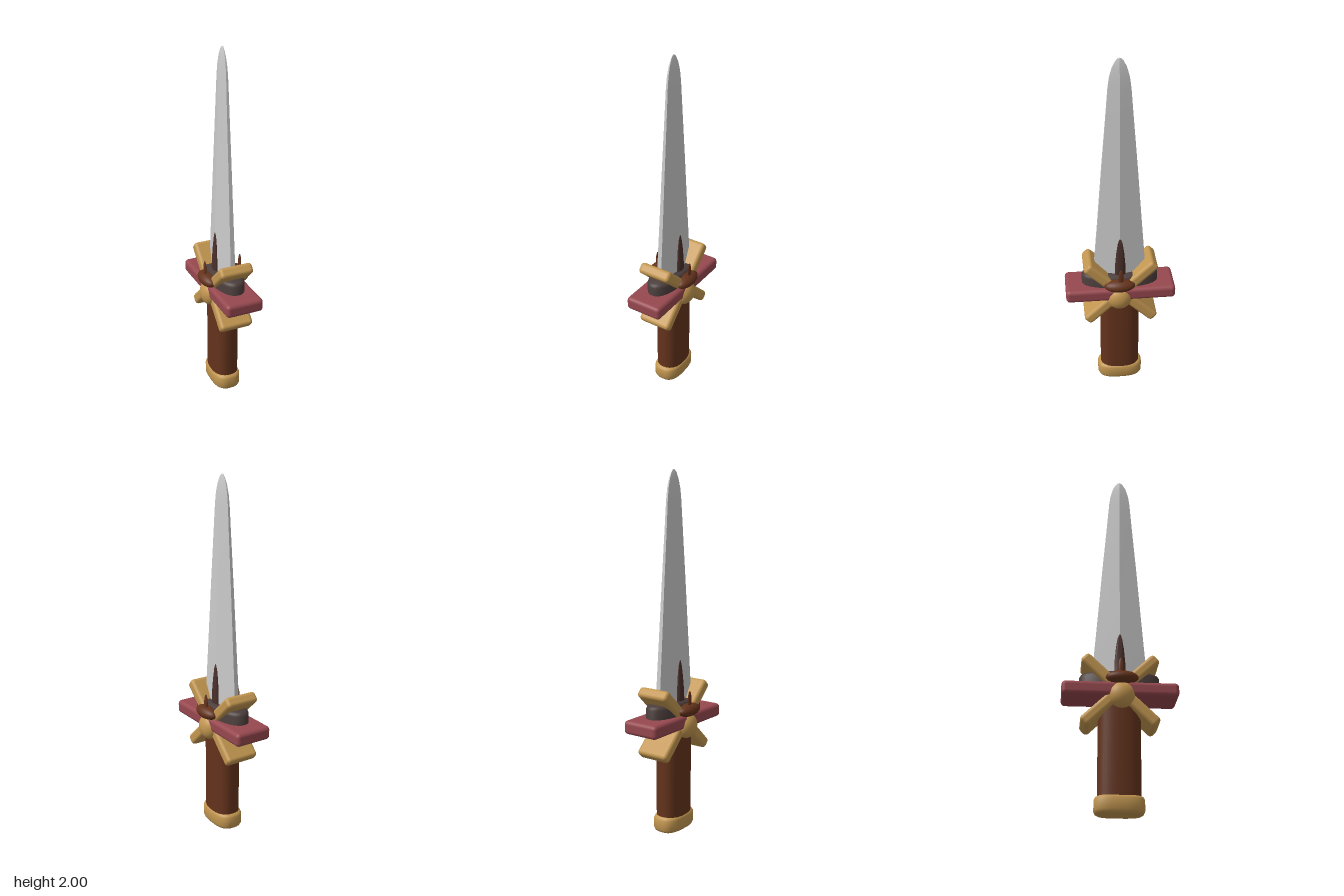
import * as THREE from 'three';
import { toCreasedNormals } from 'three/addons/utils/BufferGeometryUtils.js';
import { RoundedBoxGeometry } from 'three/addons/geometries/RoundedBoxGeometry.js';

const material = (color) => new THREE.MeshStandardMaterial({ color });

// Stack a unit outline (x, z) along y; rings are [y, half width x, half depth z]
function loft(outline, rings, crease) {
  const n = outline.length, pos = [], idx = [];
  for (const [y, rx, rz] of rings) for (const [x, z] of outline) pos.push(x * rx, y, z * rz);
  for (let i = 0; i < rings.length - 1; i++) {
    for (let j = 0; j < n; j++) {
      const a = i * n + j, b = i * n + (j + 1) % n;
      idx.push(a, a + n, b, b, a + n, b + n);
    }
  }
  const geo = new THREE.BufferGeometry();
  geo.setAttribute('position', new THREE.Float32BufferAttribute(pos, 3));
  geo.setIndex(idx);
  return toCreasedNormals(geo, crease);
}

// Rounded oval outline; a higher power is squarer
function oval(power, n = 40) {
  const f = (v) => Math.sign(v) * Math.abs(v) ** (2 / power);
  return Array.from({ length: n }, (_, i) => {
    const a = (i / n) * Math.PI * 2;
    return [f(Math.cos(a)), f(Math.sin(a))];
  });
}

export function createModel() {
  const model = new THREE.Group();
  const steel = material(0xcccccc), gold = material(0xc29650), red = material(0x96484f);
  const leather = material(0x64331c), iron = material(0x4a3d3b), thorn = material(0x4a302a);

  const add = (name, geo, mat, x = 0, y = 0, z = 0) => {
    const mesh = new THREE.Mesh(geo, mat);
    mesh.name = name;
    mesh.position.set(x, y, z);
    model.add(mesh);
    return mesh;
  };
  const ellipsoid = (rx, ry, rz) => new THREE.SphereGeometry(1, 32, 20).scale(rx, ry, rz);

  // Blade: diamond section with blunt edges and a rounded tip
  const diamond = [[1, 0], [0.27, 1], [-0.27, 1], [-1, 0], [-0.27, -1], [0.27, -1]];
  add('blade', loft(diamond, [
    [0.66, 0, 0], [0.66, 0.053, 0.15], [0.8, 0.05, 0.143], [1.1, 0.042, 0.119],
    [1.4, 0.034, 0.096], [1.7, 0.026, 0.071], [1.84, 0.021, 0.06], [1.9, 0.018, 0.052],
    [1.95, 0.013, 0.038], [1.98, 0.008, 0.023], [1.995, 0.004, 0.011], [2, 0, 0],
  ], 0.3), steel);

  // Grip and pommel
  add('grip', loft(oval(2.5), [
    [0.05, 0, 0], [0.05, 0.075, 0.113], [0.62, 0.075, 0.113], [0.62, 0, 0],
  ], 0.7), leather);
  add('pommel', loft(oval(2.8), [
    [0, 0, 0], [0, 0.065, 0.112], [0.006, 0.075, 0.123], [0.02, 0.081, 0.13],
    [0.075, 0.081, 0.13], [0.087, 0.076, 0.124], [0.093, 0.066, 0.112], [0.093, 0, 0],
  ], 0.8), gold);
  add('gripCap', ellipsoid(0.078, 0.065, 0.13), gold, 0, 0.635, 0);

  // Collar that holds the blade
  add('collar', loft(oval(2.3), [
    [0.62, 0, 0], [0.62, 0.085, 0.215], [0.73, 0.085, 0.215], [0.743, 0.08, 0.208],
    [0.75, 0.07, 0.195], [0.75, 0, 0],
  ], 0.9), iron);

  // Guard: straight red bar and two crossed gold bars
  add('crossguard', new RoundedBoxGeometry(0.218, 0.076, 0.618, 4, 0.022), red, 0, 0.642, 0);
  for (const s of [-1, 1]) {
    const bar = add('crossedBar', new RoundedBoxGeometry(0.195, 0.062, 0.535, 4, 0.02), gold, 0, 0.642, 0);
    bar.rotation.x = s * 0.76;
  }

  // Side ornaments: gold boss, dome, small horn and a thorn lying on the blade
  for (const s of [-1, 1]) {
    add('boss', ellipsoid(0.05, 0.07, 0.07), gold, s * 0.085, 0.612, 0.008);
    add('dome', ellipsoid(0.046, 0.036, 0.087), leather, s * 0.096, 0.704, 0.008);
    add('horn', ellipsoid(0.007, 0.055, 0.015), leather, s * 0.107, 0.757, 0.002);
    const spike = add('thorn', loft(oval(2, 16), [
      [0, 0, 0], [0, 0.012, 0.031], [0.08, 0.012, 0.029], [0.16, 0.01, 0.022],
      [0.22, 0.007, 0.013], [0.245, 0.004, 0.006], [0.255, 0, 0],
    ], 1), thorn, s * 0.048, 0.73, 0);
    spike.rotation.z = s * 0.027;
  }
  return model;
}
